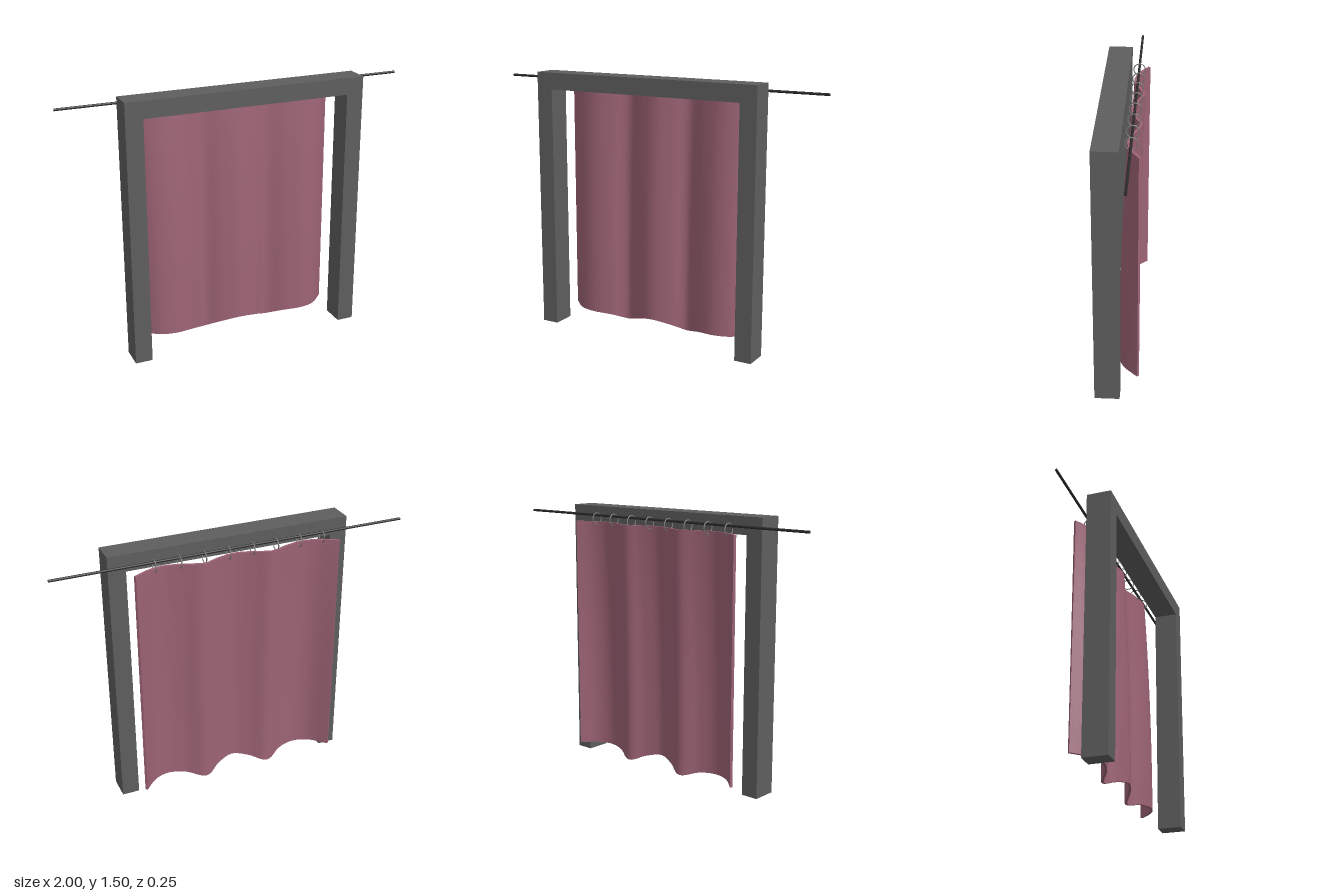
import * as THREE from 'three';
import { toCreasedNormals } from 'three/addons/utils/BufferGeometryUtils.js';

const material = (name, color) => new THREE.MeshStandardMaterial({ name, color });

function addMesh(parent, name, geometry, mat) {
  const mesh = new THREE.Mesh(geometry, mat);
  mesh.name = name;
  parent.add(mesh);
  return mesh;
}

// Smooth curve through [x, value] points, sampled evenly along x
function sampler(points) {
  const curve = new THREE.SplineCurve(points.map(([x, v]) => new THREE.Vector2(x, v)));
  return (t) => curve.getPoint(t);
}

// Doorway frame: two legs and a lintel in one outline
function frameGeometry() {
  const s = new THREE.Shape();
  s.moveTo(-0.685, 0);
  s.lineTo(-0.588, 0);
  s.lineTo(-0.588, 1.4);
  s.lineTo(0.588, 1.4);
  s.lineTo(0.588, 0);
  s.lineTo(0.685, 0);
  s.lineTo(0.685, 1.495);
  s.lineTo(-0.685, 1.495);
  const g = new THREE.ExtrudeGeometry(s, { depth: 0.137, bevelEnabled: false });
  return g.translate(0, 0, -0.013);
}

// Hanging cloth: a thin wavy section lofted from the hem up to the top edge
function curtainGeometry() {
  const cols = 72, rows = 10, half = 0.007, topY = 1.41;
  const xs = [-0.592, -0.5, -0.4, -0.3, -0.2, -0.1, 0, 0.1, 0.19, 0.3, 0.4, 0.49, 0.572];
  const topZ = [-0.115, -0.065, -0.044, -0.064, -0.098, -0.066, -0.044, -0.066, -0.098, -0.064, -0.044, -0.064, -0.108];
  const lowZ = [-0.115, -0.03, -0.003, -0.025, -0.076, -0.03, -0.003, -0.03, -0.076, -0.025, -0.003, -0.03, -0.108];
  const hemY = [0.07, 0.07, 0.07, 0.062, 0.037, 0.07, 0.09, 0.07, 0.037, 0.062, 0.07, 0.07, 0.07];
  const [top, low, hem] = [topZ, lowZ, hemY].map((v) => sampler(xs.map((x, i) => [x, v[i]])));

  const pos = [], idx = [], ring = (cols + 1) * 2;
  for (let r = 0; r <= rows; r++) {
    const h = r / rows;
    const mid = [];
    for (let c = 0; c <= cols; c++) {
      const t = c / cols, a = top(t), b = low(t);
      mid.push([a.x, THREE.MathUtils.lerp(hem(t).y, topY, h), THREE.MathUtils.lerp(b.y, a.y, h * h)]);
    }
    const side = (c, d) => {
      const p = mid[Math.max(c - 1, 0)], q = mid[Math.min(c + 1, cols)];
      const dx = q[0] - p[0], dz = q[2] - p[2], l = Math.hypot(dx, dz);
      pos.push(mid[c][0] - (dz / l) * d, mid[c][1], mid[c][2] + (dx / l) * d);
    };
    for (let c = 0; c <= cols; c++) side(c, half);
    for (let c = cols; c >= 0; c--) side(c, -half);
  }
  // Walls
  for (let r = 0; r < rows; r++) {
    for (let j = 0; j < ring; j++) {
      const k = (j + 1) % ring;
      const a = r * ring + j, b = r * ring + k, c = b + ring, d = a + ring;
      idx.push(a, b, c, a, c, d);
    }
  }
  // Hem and top edge
  const o = rows * ring;
  for (let j = 0; j < cols; j++) {
    const f = j, g = j + 1, bf = ring - 1 - f, bg = ring - 1 - g;
    idx.push(o + f, o + g, o + bg, o + f, o + bg, o + bf);
    idx.push(f, bg, g, f, bf, bg);
  }
  const geo = new THREE.BufferGeometry();
  geo.setAttribute('position', new THREE.Float32BufferAttribute(pos, 3));
  geo.setIndex(idx);
  return toCreasedNormals(geo, 0.7);
}

export function createModel() {
  const model = new THREE.Group();
  model.name = 'curtainedDoorway';

  const stone = material('frameGrey', 0x5e5e5e);
  const cloth = material('curtainRose', 0x9e6475);
  const iron = material('rodBlack', 0x2c2c2c);
  const steel = material('ringGrey', 0x7c7c78);

  addMesh(model, 'doorFrame', frameGeometry(), stone);
  addMesh(model, 'curtain', curtainGeometry(), cloth);

  // Rod running past both sides of the frame
  const rodZ = -0.061;
  const rod = addMesh(model, 'curtainRod', new THREE.CylinderGeometry(0.007, 0.007, 2, 16), iron);
  rod.rotation.z = Math.PI / 2;
  rod.position.set(0, 1.447, rodZ);

  // Eight evenly spaced rings
  const rings = new THREE.Group();
  rings.name = 'curtainRings';
  model.add(rings);
  const ringGeometry = new THREE.TorusGeometry(0.033, 0.003, 8, 28).rotateY(Math.PI / 2);
  for (let i = 0; i < 8; i++) {
    const ring = addMesh(rings, 'curtainRing', ringGeometry, steel);
    ring.position.set(-0.509 + i * 0.1373, 1.426, rodZ);
  }
  return model;
}
